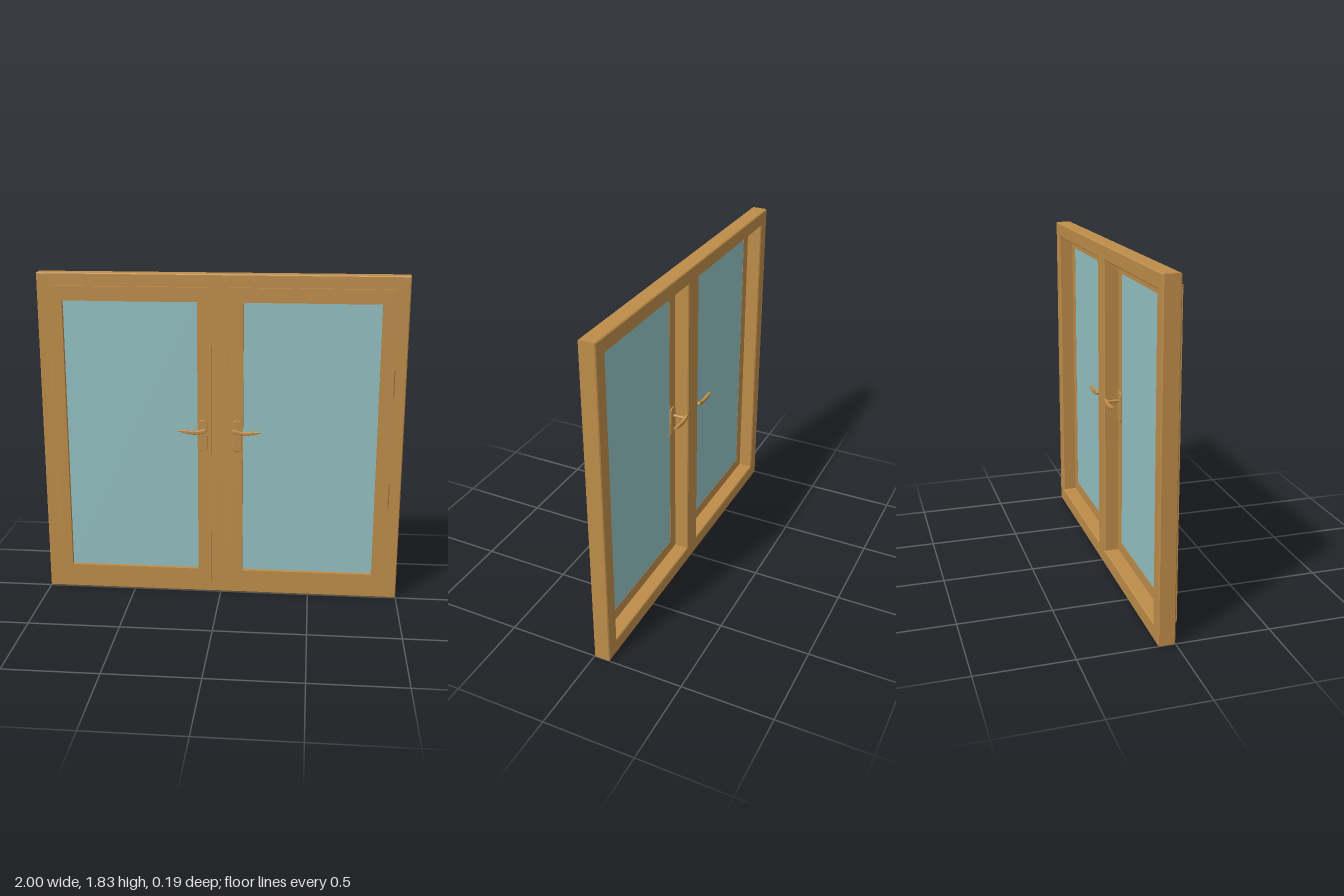
import * as THREE from 'three';

const wood = new THREE.MeshStandardMaterial({ color: 0xbd8c49 });
const glass = new THREE.MeshStandardMaterial({ color: 0x93c0c2 });

function add(parent, name, geometry, material = wood) {
  const mesh = new THREE.Mesh(geometry, material);
  mesh.name = name;
  parent.add(mesh);
  return mesh;
}

// Rectangle outline between two corners, for shapes and holes
function rect(Type, x0, x1, y0, y1) {
  const a = Math.min(x0, x1), b = Math.max(x0, x1);
  return new Type([[a, y0], [b, y0], [b, y1], [a, y1]].map(p => new THREE.Vector2(...p)));
}

// Extrusion that fills exactly z0..z1, with an inset bevel
function slab(shape, z0, z1, bevel = 0, segments = 1) {
  const g = new THREE.ExtrudeGeometry(shape, {
    depth: z1 - z0 - 2 * bevel, bevelEnabled: bevel > 0, bevelThickness: bevel,
    bevelSize: bevel, bevelOffset: -bevel, bevelSegments: segments, curveSegments: 10,
  });
  return g.translate(0, 0, z0 + bevel);
}

// Handle with its plate on z = 0; s is the direction the lever points in x
function makeHandle(s, reach) {
  const handle = new THREE.Group();
  handle.name = 'handle';

  // Back plate with rounded ends
  const w = 0.026, r = 0.02, y0 = 0.86, y1 = 1.035;
  const plate = new THREE.Shape();
  plate.moveTo(-w + r, y0);
  plate.lineTo(w - r, y0);
  plate.absarc(w - r, y0 + r, r, -Math.PI / 2, 0);
  plate.absarc(w - r, y1 - r, r, 0, Math.PI / 2);
  plate.absarc(-w + r, y1 - r, r, Math.PI / 2, Math.PI);
  plate.absarc(-w + r, y0 + r, r, Math.PI, Math.PI * 1.5);
  add(handle, 'handlePlate', slab(plate, 0, 0.008, 0.002));

  // Spindle from the plate to the lever
  const spindle = new THREE.CylinderGeometry(0.008, 0.008, reach - 0.008, 16);
  spindle.rotateX(Math.PI / 2).translate(-0.005 * s, 0.982, (reach - 0.008) / 2);
  add(handle, 'handleSpindle', spindle);

  // Curved lever tapering to its tip
  const lever = new THREE.Shape();
  lever.moveTo(-0.025 * s, 0.988);
  lever.bezierCurveTo(-0.02 * s, 1.004, 0.0, 0.992, 0.02 * s, 0.988);
  lever.bezierCurveTo(0.05 * s, 0.982, 0.09 * s, 0.992, 0.13 * s, 0.99);
  lever.lineTo(0.13 * s, 0.982);
  lever.bezierCurveTo(0.1 * s, 0.976, 0.06 * s, 0.958, 0.015 * s, 0.968);
  lever.bezierCurveTo(-0.005 * s, 0.972, -0.025 * s, 0.975, -0.025 * s, 0.988);
  add(handle, 'handleLever', slab(lever, reach - 0.017, reach, 0.0045, 3));
  return handle;
}

// One casement; s = 1 on the +x side, -1 on the -x side
function makeSash(s) {
  const sash = new THREE.Group();
  sash.name = s > 0 ? 'leftSash' : 'rightSash';
  const pane = [0.125 * s, 0.857 * s, 0.15, 1.68];

  // Inner body sitting in the frame, and the lip overlapping it
  const body = rect(THREE.Shape, 0.06 * s, 0.92 * s, 0.085, 1.745);
  body.holes.push(rect(THREE.Path, ...pane));
  add(sash, 'sashBody', slab(body, -0.01, 0.016));
  const lip = rect(THREE.Shape, 0.05 * s, 0.925 * s, 0.072, 1.758);
  lip.holes.push(rect(THREE.Path, ...pane));
  add(sash, 'sashLip', slab(lip, 0.016, 0.032));

  add(sash, 'glassPane', slab(rect(THREE.Shape, ...pane), -0.009, 0.008), glass);

  // Two hinges on the outer edge
  for (const y of [0.615, 1.255]) {
    const hinge = new THREE.CylinderGeometry(0.01, 0.01, 0.15, 12);
    add(sash, 'hinge', hinge).position.set(0.927 * s, y, 0.011);
  }

  // Handles on both faces, levers pointing towards the hinges
  const front = makeHandle(s, 0.066);
  front.position.set(0.095 * s, 0, 0.031);
  const back = makeHandle(-s, 0.088);
  back.rotation.y = Math.PI;
  back.position.set(0.095 * s, 0, -0.009);
  sash.add(front, back);
  return sash;
}

export function createModel() {
  const model = new THREE.Group();
  model.name = 'doubleWindow';

  // Outer frame with two openings and a central mullion
  const frame = rect(THREE.Shape, -1, 1, 0, 1.825);
  for (const s of [1, -1]) {
    frame.holes.push(rect(THREE.Path, 0.06 * s, 0.92 * s, 0.085, 1.745));
  }
  add(model, 'frame', slab(frame, -0.09, 0, 0.005));

  for (const s of [1, -1]) model.add(makeSash(s));
  return model;
}
